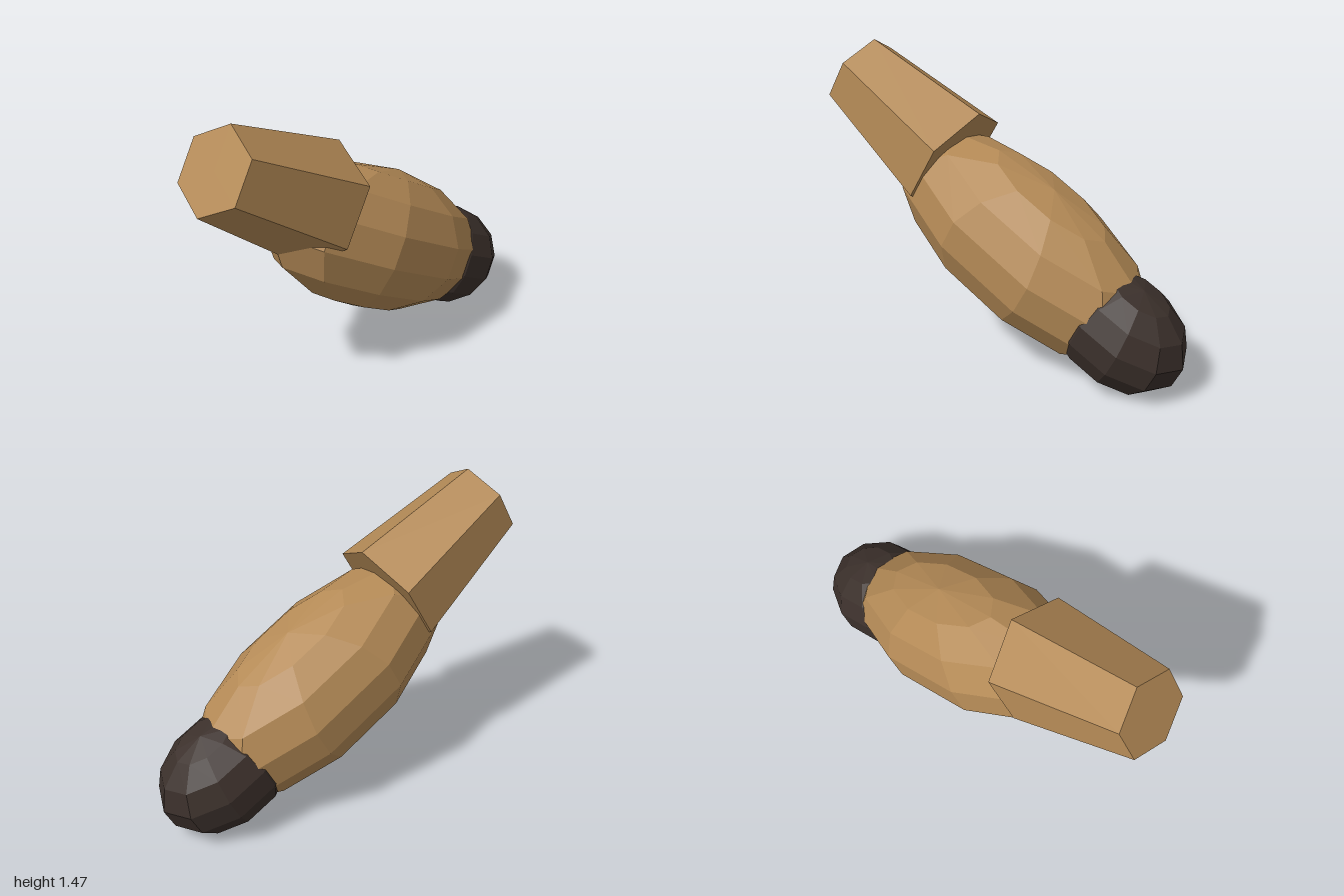
import * as THREE from 'three';

const tan = new THREE.MeshStandardMaterial({ color: 0xb48a56, flatShading: true });
const dark = new THREE.MeshStandardMaterial({ color: 0x3b302b, flatShading: true });

// Low-poly ellipsoid, stretched along z and pitched nose-up by tilt
function ellipsoid(name, radius, halfLength, y, z, tilt, material) {
  const geometry = new THREE.SphereGeometry(radius, 10, 7);
  geometry.rotateY(Math.PI / 2);
  geometry.scale(1, 1, halfLength / radius);
  const mesh = new THREE.Mesh(geometry, material);
  mesh.name = name;
  mesh.position.set(0, y, z);
  mesh.rotation.x = -tilt;
  return mesh;
}

export function createModel() {
  const model = new THREE.Group();
  model.name = 'model';

  // Long faceted body and the dark ball at its lower rear end
  model.add(ellipsoid('body', 0.36, 0.78, 0.597, -0.112, 0.5, tan));
  model.add(ellipsoid('darkEnd', 0.267, 0.357, 0.292, -0.66, 0.465, dark));

  // Tapered six-sided block pointing forward and up
  const snout = new THREE.Mesh(new THREE.CylinderGeometry(0.208, 0.3, 0.693, 6), tan);
  snout.name = 'snout';
  snout.position.set(0, 1.12, 0.596);
  snout.rotation.x = THREE.MathUtils.degToRad(59.7);
  model.add(snout);

  return model;
}
